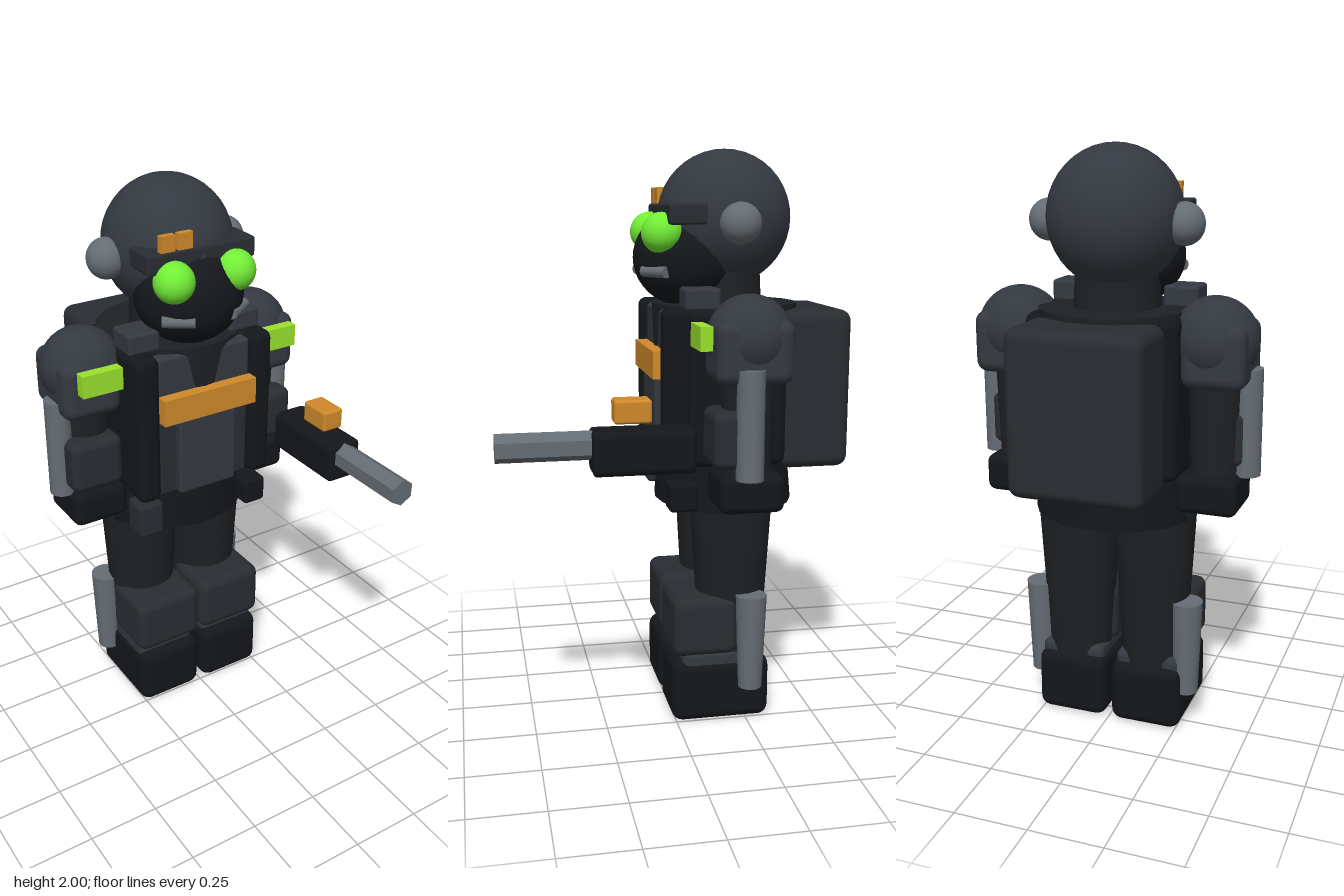
import * as THREE from 'three';
import { RoundedBoxGeometry } from 'three/addons/geometries/RoundedBoxGeometry.js';

const paint = (color) => new THREE.MeshStandardMaterial({ color });

export function createModel() {
  const model = new THREE.Group();
  const slate = paint(0x343941), cloth = paint(0x1e2124), black = paint(0x14171b), plate = paint(0x292d32);
  const metal = paint(0x656d74), green = paint(0x72ee35), lime = paint(0x9be22d), orange = paint(0xd08a2a);

  function add(name, geometry, material, x, y, z) {
    const mesh = new THREE.Mesh(geometry, material);
    mesh.name = name;
    mesh.position.set(x, y, z);
    model.add(mesh);
    return mesh;
  }
  // Box from its limits, rounded when r > 0
  function box(name, mat, x0, x1, y0, y1, z0, z1, r = 0) {
    const w = x1 - x0, h = y1 - y0, d = z1 - z0;
    const g = r ? new RoundedBoxGeometry(w, h, d, 3, r) : new THREE.BoxGeometry(w, h, d);
    return add(name, g, mat, (x0 + x1) / 2, (y0 + y1) / 2, (z0 + z1) / 2);
  }
  // Ellipsoid
  function ball(name, mat, x, y, z, rx, ry = rx, rz = rx) {
    return add(name, new THREE.SphereGeometry(1, 32, 20).scale(rx, ry, rz), mat, x, y, z);
  }
  // Upright tapered tube
  function post(name, mat, x, z, y0, y1, rBottom, rTop, sides = 20) {
    return add(name, new THREE.CylinderGeometry(rTop, rBottom, y1 - y0, sides), mat, x, (y0 + y1) / 2, z);
  }

  // Head
  ball('helmet', slate, 0, 1.766, -0.212, 0.226, 0.234, 0.234);
  ball('mask', black, 0, 1.63, -0.075, 0.19, 0.17, 0.183);
  box('brow', plate, -0.205, 0.205, 1.745, 1.815, -0.11, 0.02, 0.01);
  box('brow lamp', orange, -0.157, -0.105, 1.815, 1.87, -0.005, 0.018);
  box('brow lamp', orange, -0.092, -0.038, 1.815, 1.87, -0.005, 0.018);
  post('neck', cloth, 0, -0.2, 1.42, 1.6, 0.15, 0.14);

  // Torso and skirt
  post('torso', cloth, 0, -0.215, 0.92, 1.475, 0.235, 0.257);
  box('vest', black, -0.262, 0.262, 0.93, 1.465, -0.38, 0.0, 0.03);
  post('skirt', black, 0, -0.215, 0.77, 0.96, 0.247, 0.23).scale.x = 1.15;
  box('chest plate', slate, -0.185, 0.185, 1.2, 1.46, -0.1, 0.03, 0.015);
  box('chest lower plate', plate, -0.185, 0.185, 0.93, 1.25, -0.1, 0.025, 0.015);
  box('belly plate', slate, -0.115, 0.115, 0.935, 1.24, -0.06, 0.055, 0.01);
  box('chest bar', orange, -0.185, 0.185, 1.23, 1.325, 0.03, 0.073);
  box('right pouch', plate, -0.265, -0.17, 0.78, 0.91, -0.07, 0.03, 0.015);
  box('left pouch', black, 0.18, 0.27, 0.78, 0.88, -0.07, 0.03, 0.015);
  box('backpack', plate, -0.23, 0.23, 0.905, 1.457, -0.62, -0.37, 0.04);

  // Parts mirrored on both sides
  for (const s of [-1, 1]) {
    const side = s > 0 ? 'left' : 'right';
    const pair = (name, mat, xIn, xOut, ...rest) =>
      box(`${side} ${name}`, mat, Math.min(s * xIn, s * xOut), Math.max(s * xIn, s * xOut), ...rest);

    // Face
    ball(`${side} goggle`, green, s * 0.118, 1.717, 0.03, 0.07);
    ball(`${side} earpiece`, metal, s * 0.235, 1.75, -0.214, 0.066, 0.07, 0.07);
    const filter = add(`${side} mask filter`, new THREE.CylinderGeometry(0.02, 0.02, 0.11, 16), metal, s * 0.115, 1.588, 0.052);
    filter.rotation.set(0, s * 0.6, Math.PI / 2);

    // Harness
    pair('collar pad', slate, 0.14, 0.26, 1.465, 1.54, -0.145, -0.025, 0.012);
    pair('strap', black, 0.183, 0.27, 0.93, 1.475, -0.05, 0.052, 0.03);

    // Arm
    ball(`${side} shoulder`, slate, s * 0.345, 1.385, -0.22, 0.145, 0.143, 0.143);
    pair('shoulder guard', slate, 0.255, 0.47, 1.24, 1.45, -0.345, -0.087, 0.04);
    pair('shoulder patch', lime, 0.28, 0.43, 1.353, 1.432, -0.078, -0.037);
    post(`${side} arm`, cloth, s * 0.35, -0.215, 0.9, 1.32, 0.08, 0.092);
    pair('forearm guard', plate, 0.265, 0.46, 0.965, 1.155, -0.25, -0.08, 0.03);
    pair('hand', black, 0.237, 0.45, 0.812, 0.943, -0.325, -0.105, 0.03);
    post(`${side} arm piston`, metal, s * 0.455, -0.198, 0.933, 1.295, 0.046, 0.046);

    // Leg
    post(`${side} leg`, cloth, s * 0.14, -0.215, 0.18, 0.82, 0.11, 0.147);
    pair('knee guard', plate, 0.006, 0.27, 0.247, 0.46, -0.22, 0.012, 0.035);
    pair('ankle cuff', slate, 0.025, 0.257, 0.15, 0.265, -0.31, -0.02, 0.025);
    pair('boot', black, 0.01, 0.265, 0, 0.228, -0.337, 0.015, 0.04);
    post(`${side} leg piston`, metal, s * 0.272, -0.26, 0.13, 0.472, 0.042, 0.055);
  }

  // Blaster in front of the left hand
  box('blaster body', black, 0.338, 0.475, 0.965, 1.11, -0.31, -0.28 + 0.59, 0.025).scale.z = 0.335 / 0.62;
  model.children.at(-1).position.z = 0.147;
  const barrel = add('blaster barrel', new THREE.CylinderGeometry(0.048, 0.048, 0.35, 6), metal, 0.406, 1.06, 0.443);
  barrel.material = paint(0x656d74);
  barrel.material.flatShading = true;
  barrel.rotation.x = Math.PI / 2;
  box('blaster sight', orange, 0.364, 0.446, 1.13, 1.207, 0.12, 0.242, 0.01);

  return model;
}
